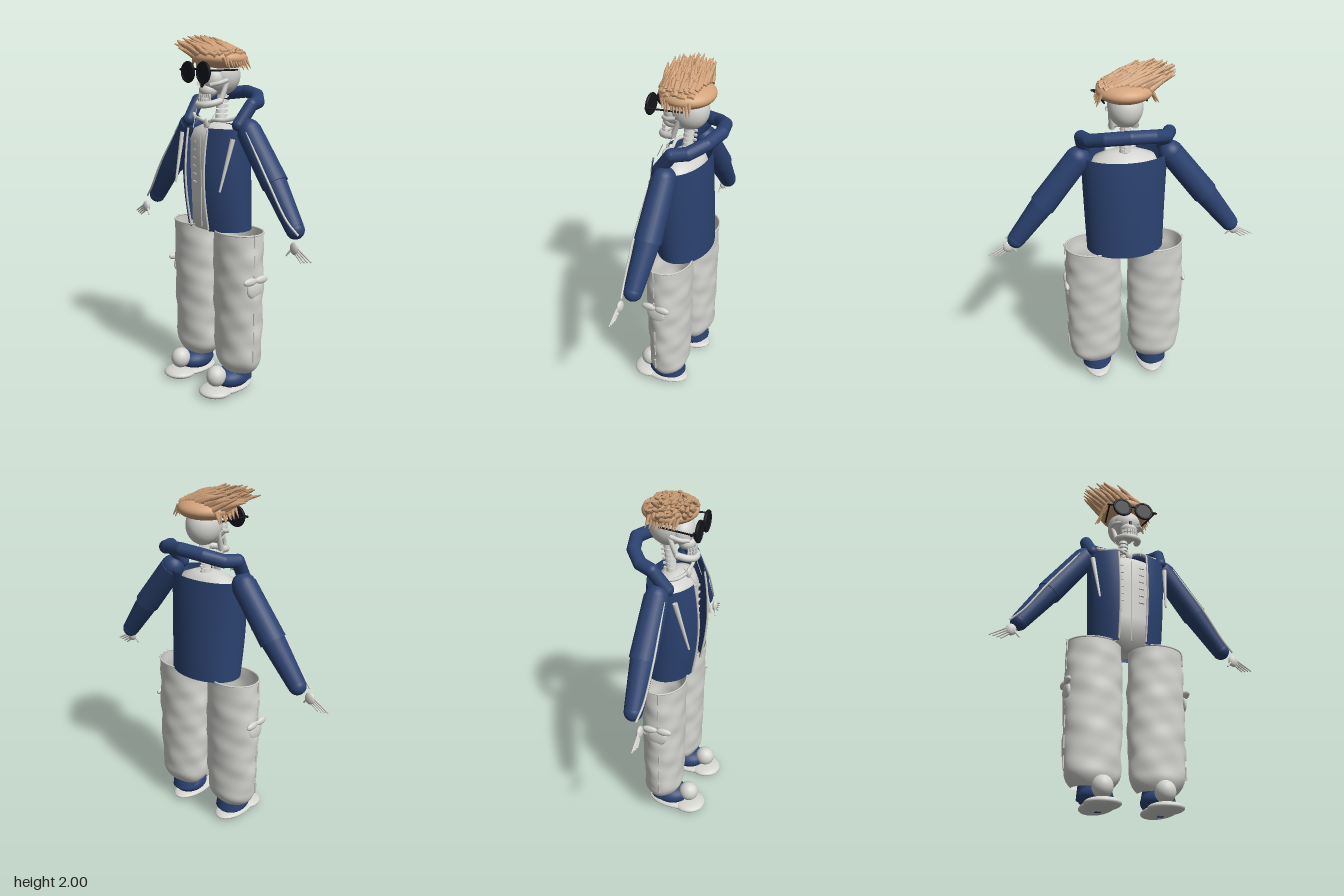
import * as THREE from 'three';
import { mergeVertices } from 'three/addons/utils/BufferGeometryUtils.js';

const V = (x, y, z) => new THREE.Vector3(x, y, z);

export function createModel() {
  const model = new THREE.Group();
  const material = (name, color) => {
    const m = new THREE.MeshStandardMaterial({ color, side: THREE.DoubleSide });
    m.name = name;
    return m;
  };
  const navy = material('navy cloth', 0x2b4270);
  const bone = material('pale grey', 0xd4d4d0);
  const tan = material('tan hair', 0xd3a47b);
  const black = material('black', 0x14151b);

  let seed = 7;
  const rand = () => (seed = (seed * 16807) % 2147483647) / 2147483647;

  const add = (name, geometry, mat, pos) => {
    const m = new THREE.Mesh(geometry, mat);
    m.name = name;
    if (pos) m.position.copy(pos);
    model.add(m);
    return m;
  };
  const ball = (name, mat, pos, rx, ry, rz) =>
    add(name, new THREE.SphereGeometry(1, 28, 20).scale(rx, ry, rz), mat, pos);
  const box = (name, mat, pos, w, h, d) => add(name, new THREE.BoxGeometry(w, h, d), mat, pos);
  // Tapered rod between two points
  const rod = (name, mat, a, b, r0, r1, sides = 24) => {
    const d = b.clone().sub(a);
    const m = add(name, new THREE.CylinderGeometry(r1, r0, d.length(), sides), mat, a.clone().addScaledVector(d, 0.5));
    m.quaternion.setFromUnitVectors(V(0, 1, 0), d.normalize());
    return m;
  };
  const tube = (name, mat, pts, r, seg = 32, sides = 10) =>
    add(name, new THREE.TubeGeometry(new THREE.CatmullRomCurve3(pts), seg, r, sides), mat);
  // Sheet from a rule f(u, v) -> point
  const sheet = (name, mat, f, nu, nv) => {
    const pos = [], index = [];
    for (let j = 0; j <= nv; j++) for (let i = 0; i <= nu; i++) {
      pos.push(...f(i / nu, j / nv).toArray());
      if (i < nu && j < nv) {
        const a = j * (nu + 1) + i, b = a + nu + 1;
        index.push(a, a + 1, b, a + 1, b + 1, b);
      }
    }
    let g = new THREE.BufferGeometry();
    g.setAttribute('position', new THREE.Float32BufferAttribute(pos, 3));
    g.setIndex(index);
    g = mergeVertices(g, 1e-5);
    g.computeVertexNormals();
    return add(name, g, mat);
  };

  // Torso
  const profile = [[0, .935], [.18, .937], [.185, 1.1], [.195, 1.3], [.195, 1.43], [.165, 1.49], [.09, 1.52], [0, 1.53]];
  add('torso', new THREE.LatheGeometry(profile.map(p => new THREE.Vector2(...p)), 48).scale(1, 1, .6), bone);
  rod('shirtSeam', bone, V(0, .95, .112), V(0, 1.46, .118), .003, .003, 6);

  // Open jacket body
  const gap = .37;
  const jacketPoint = (t, y) => {
    const k = (y - .94) / .57;
    const front = .132 + .036 * Math.sin(Math.PI * k * .92);
    const back = -.168 + .03 * k * k;
    const rz = (front - back) / 2;
    return V((.216 + .019 * k) * Math.sin(t), y, (front + back) / 2 + rz * Math.cos(t));
  };
  sheet('jacketBody', navy, (u, v) => jacketPoint(gap + u * (2 * Math.PI - 2 * gap), .94 + v * .57), 64, 16);

  // Collar
  const half = [[.215, 1.53, .03], [.232, 1.635, -.045], [.2, 1.645, -.12], [.12, 1.675, -.185]];
  const collar = [
    ...half.map(p => V(...p)), V(0, 1.69, -.215),
    ...half.slice().reverse().map(([x, y, z]) => V(-x, y, z)),
  ];
  for (let i = 0; i < collar.length - 1; i++) {
    rod('collar', navy, collar[i], collar[i + 1], .036, .036, 16);
    ball('collarJoint', navy, collar[i + 1], .036, .036, .036);
  }
  ball('collarJoint', navy, collar[0], .036, .036, .036);

  for (const s of [1, -1]) {
    const P = (x, y, z) => V(s * x, y, z);

    // Jacket trim: zip edge, teeth, hanging strap and cord
    const edge = y => jacketPoint(s * gap, y).add(V(0, 0, .004));
    tube('zipEdge', bone, [.95, 1.1, 1.25, 1.4, 1.5].map(edge), .006, 24, 6);
    for (let y = 1.2; y < 1.46; y += .045) box('rib', bone, P(.062, y, .112), .03, .008, .012);
    rod('strap', bone, P(.222, 1.46, .075), P(.197, 1.18, .145), .014, .006, 8);
    rod('cord', bone, P(.09, 1.6, .075), P(.05, 1.5, .13), .002, .002, 6);

    // Sleeves
    const shoulder = P(.25, 1.5, -.012), elbow = P(.452, 1.24, -.018);
    rod('upperSleeve', navy, shoulder, elbow, .068, .072);
    ball('shoulder', navy, shoulder, .066, .066, .062);
    rod('lowerSleeve', navy, P(.435, 1.262, -.018), P(.605, 1.035, -.012), .067, .05);
    ball('cuff', navy, P(.61, 1.028, -.012), .049, .049, .049);
    tube('sleevePiping', bone, [P(.29, 1.5, .042), P(.48, 1.25, .05), P(.6, 1.08, .04), P(.668, 1.015, .025)], .006, 20, 6);

    // Hand
    ball('palm', bone, P(.66, .95, .04), .03, .034, .016);
    for (let i = 0; i < 4; i++) {
      const a = P(.668 + i * .006, .925 + i * .01, .042);
      rod('finger', bone, a, P(.712 + i * .021, .888 + i * .005, .046 - i * .002), .006, .004, 8);
    }
    rod('thumb', bone, P(.64, .94, .045), P(.615, .905, .055), .006, .004, 8);

    // Baggy trouser leg with soft folds
    const legPoint = (u, v) => {
      const a = u * Math.PI * 2, y = .135 + v * .81;
      const cinch = 1 - .3 * Math.pow(1 - Math.min(1, v / .1), 2);
      const folds = 1 + Math.sin(Math.PI * Math.min(1, (1 - v) * 6) / 2) *
        (.016 * Math.sin(3 * a + 24 * y) + .014 * Math.sin(5 * a - 31 * y) + .008 * Math.sin(2 * a + 55 * y));
      const r = cinch * folds;
      return P(.182 + (.15 + .014 * Math.sin(Math.PI * v * .9)) * r * Math.cos(a), y,
        -.003 + (.108 + .016 * v) * r * Math.sin(a));
    };
    sheet('trouserLeg', bone, legPoint, 60, 64);
    tube('waistHem', bone, Array.from({ length: 33 }, (_, i) => legPoint(i / 32, 1)), .005, 64, 6);

    // Side pocket with flap and stitching
    ball('pocket', bone, P(.335, .645, .01), .018, .055, .055);
    for (const z of [.05, -.03]) ball('pocketFlap', bone, P(.342, .695, z), .016, .022, .045);
    for (let y = .22; y < .9; y += .11) rod('sideStitch', bone, P(.342, y, .02), P(.342, y + .07, .02), .005, .005, 6);

    // Shoe
    ball('soleFront', bone, P(.168, .03, .15), .096, .03, .096);
    ball('sole', bone, P(.168, .03, .055), .088, .026, .16);
    ball('shoeUpper', navy, P(.17, .085, .03), .09, .06, .112);
    rod('ankle', navy, P(.175, .08, -.005), P(.178, .155, -.005), .085, .075);
    ball('toeCap', bone, P(.168, .115, .145), .055, .06, .058);
    box('solePatch', navy, P(.168, .006, .07), .03, .008, .03);

    // Collarbone
    tube('collarbone', bone, [P(.012, 1.535, .07), P(.07, 1.55, .075), P(.13, 1.55, .05), P(.185, 1.565, .02)], .01, 20, 8);

    // Skull sides: cheek and jaw branch
    tube('cheekbone', bone, [P(.05, 1.735, .09), P(.08, 1.745, .055), P(.085, 1.76, 0)], .012, 16, 8);
    rod('jawBranch', bone, P(.062, 1.645, .03), P(.075, 1.75, -.01), .016, .012, 10);

    // Sunglasses
    const lens = add('lens', new THREE.CylinderGeometry(.054, .054, .012, 36), black, P(.067, 1.803, .148));
    lens.rotation.x = Math.PI / 2;
    add('lensRim', new THREE.TorusGeometry(.051, .008, 8, 36), black, P(.067, 1.803, .15));
    rod('hinge', black, P(.105, 1.815, .145), P(.155, 1.815, .135), .006, .006, 8);
    rod('temple', black, P(.145, 1.815, .145), P(.11, 1.815, -.05), .005, .005, 8);

    // Short locks over the ears
    for (let i = 0; i < 10; i++) {
      const z = .06 - i * .017;
      rod('sideLock', tan, P(.125, 1.88, z), P(.142 + rand() * .02, 1.81 + rand() * .025, z - .012), .012, .002, 6);
    }
  }
  rod('bridge', black, V(-.03, 1.82, .15), V(.03, 1.82, .15), .006, .006, 8);

  // Neck
  for (let i = 0; i < 6; i++) {
    const p = V(0, 1.535 + i * .027, -.02 - i * .003);
    add('vertebra', new THREE.CylinderGeometry(.026, .03, .02, 16), bone, p);
    box('vertebraSpine', bone, p.clone().add(V(0, 0, -.03)), .014, .01, .03);
  }
  ball('breastbone', bone, V(0, 1.525, .075), .022, .03, .014);

  // Skull, jaw and teeth
  ball('cranium', bone, V(0, 1.785, -.036), .093, .108, .105);
  ball('face', bone, V(0, 1.765, .045), .078, .075, .06);
  ball('upperJaw', bone, V(0, 1.705, .065), .052, .04, .048);
  const chin = [V(.064, 1.65, .025), V(.056, 1.638, .075), V(.03, 1.63, .108), V(0, 1.628, .115),
    V(-.03, 1.63, .108), V(-.056, 1.638, .075), V(-.064, 1.65, .025)];
  tube('jaw', bone, chin, .019, 36, 12);
  box('noseHollow', black, V(0, 1.733, .104), .018, .026, .008);
  for (let i = -4; i <= 4; i++) {
    const a = i * .27, x = .05 * Math.sin(a), z = .062 + .052 * Math.cos(a);
    box('upperTooth', bone, V(x, 1.678, z), .01, .02, .01).rotation.y = a;
    box('lowerTooth', bone, V(x, 1.656, z), .01, .018, .01).rotation.y = a;
  }

  // Hair: smooth cap with swept strands
  ball('hairCap', tan, V(0, 1.872, -.025), .15, .06, .148);
  for (let i = 0; i < 13; i++) for (let j = 0; j < 11; j++) {
    const x = -.135 + i * .0225 + (rand() - .5) * .02;
    const z = -.1 + j * .02 + (rand() - .5) * .016;
    const d = (x / .15) ** 2 + ((z + .025) / .148) ** 2;
    if (d > .97) continue;
    const base = V(x, 1.868 + .06 * Math.sqrt(1 - d), z);
    const tip = V(
      Math.max(-.27, x - .1 - rand() * .06),
      Math.min(1.998, base.y + .035 + rand() * .04 - Math.max(0, x) * .15),
      Math.min(.135, z + .01 + rand() * .03));
    const mid = base.clone().lerp(tip, .5).add(V(0, .004, 0));
    rod('strand', tan, base, mid, .016, .013, 7);
    rod('strandTip', tan, mid, tip, .013, .003, 7);
  }

  return model;
}
